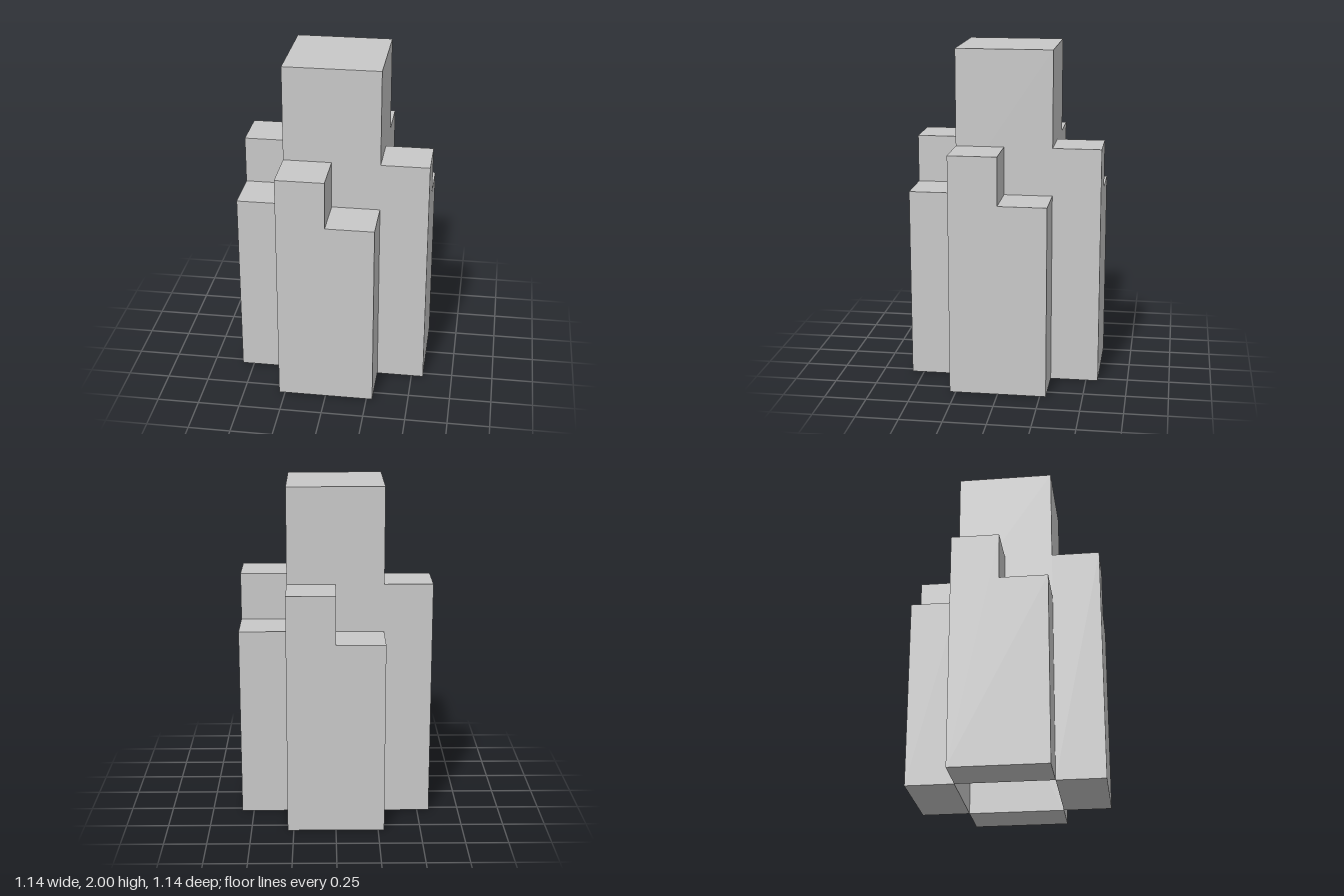
import * as THREE from 'three';

const U = 2 / 7; // block module

export function createModel() {
  const model = new THREE.Group();
  model.name = 'steppedTower';
  const stone = new THREE.MeshStandardMaterial({ color: 0xc8c8c8 });
  stone.name = 'light grey stone';

  // Central tower, resting above the open shaft between the wings
  const tower = new THREE.Mesh(new THREE.BoxGeometry(2 * U, 3 * U, 2 * U), stone);
  tower.name = 'centralTower';
  tower.position.y = 5.5 * U;
  model.add(tower);

  // Wing outline: a high half and a low half, one module deep
  const outline = new THREE.Shape(
    [[-1, 0], [1, 0], [1, 4], [0, 4], [0, 5], [-1, 5]].map(([x, y]) => new THREE.Vector2(x * U, y * U))
  );
  const wingGeometry = new THREE.ExtrudeGeometry(outline, { depth: U, bevelEnabled: false });
  wingGeometry.translate(0, 0, U);

  // Four wings turned around the tower
  ['frontWing', 'leftWing', 'backWing', 'rightWing'].forEach((name, i) => {
    const wing = new THREE.Mesh(wingGeometry, stone);
    wing.name = name;
    wing.rotation.y = i * Math.PI / 2;
    model.add(wing);
  });

  return model;
}
